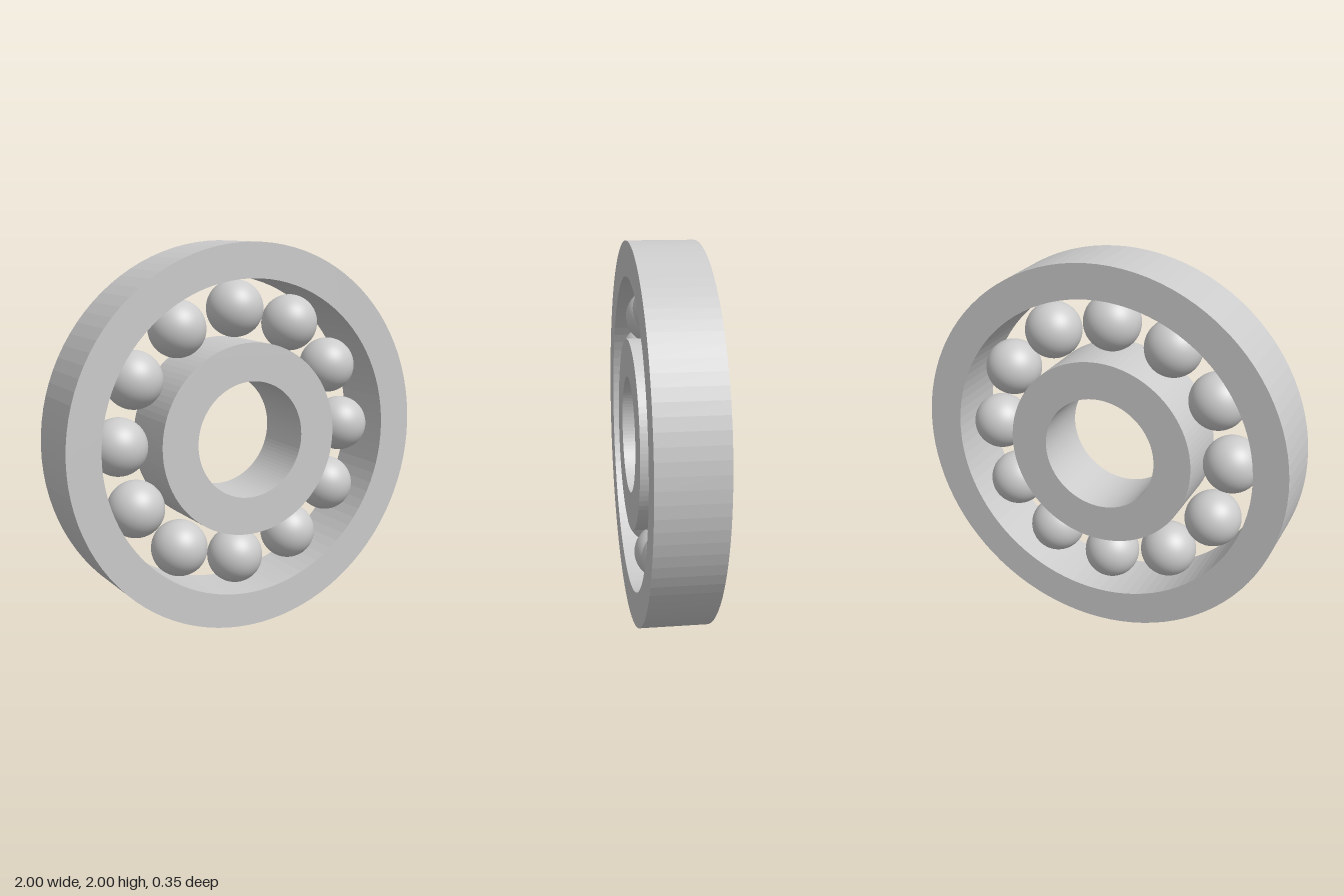
import * as THREE from 'three';

const WIDTH = 0.35;
const material = new THREE.MeshStandardMaterial({ color: 0xcccccc });

// Flat-faced ring with a straight bore, centred on its own depth
function makeRing(name, outerRadius, innerRadius) {
  const shape = new THREE.Shape();
  shape.absarc(0, 0, outerRadius, 0, Math.PI * 2, false);
  const bore = new THREE.Path();
  bore.absarc(0, 0, innerRadius, 0, Math.PI * 2, true);
  shape.holes.push(bore);
  const geometry = new THREE.ExtrudeGeometry(shape, {
    depth: WIDTH, bevelEnabled: false, curveSegments: 48,
  });
  geometry.translate(0, 0, -WIDTH / 2);
  const ring = new THREE.Mesh(geometry, material);
  ring.name = name;
  return ring;
}

export function createModel() {
  const bearing = new THREE.Group();
  bearing.name = 'ballBearing';

  // Outer and inner races
  bearing.add(makeRing('outerRace', 1, 0.82));
  bearing.add(makeRing('innerRace', 0.5, 0.303));

  // Twelve balls evenly spaced between the races
  const balls = new THREE.Group();
  balls.name = 'balls';
  const ballGeometry = new THREE.SphereGeometry(0.148, 48, 32);
  const count = 12;
  for (let i = 0; i < count; i++) {
    const angle = (i / count) * Math.PI * 2;
    const ball = new THREE.Mesh(ballGeometry, material);
    ball.name = `ball${i + 1}`;
    ball.position.set(Math.cos(angle) * 0.66, Math.sin(angle) * 0.66, 0);
    balls.add(ball);
  }
  bearing.add(balls);

  // Stand the bearing on the ground
  bearing.position.y = 1;
  const model = new THREE.Group();
  model.name = 'model';
  model.add(bearing);
  return model;
}
